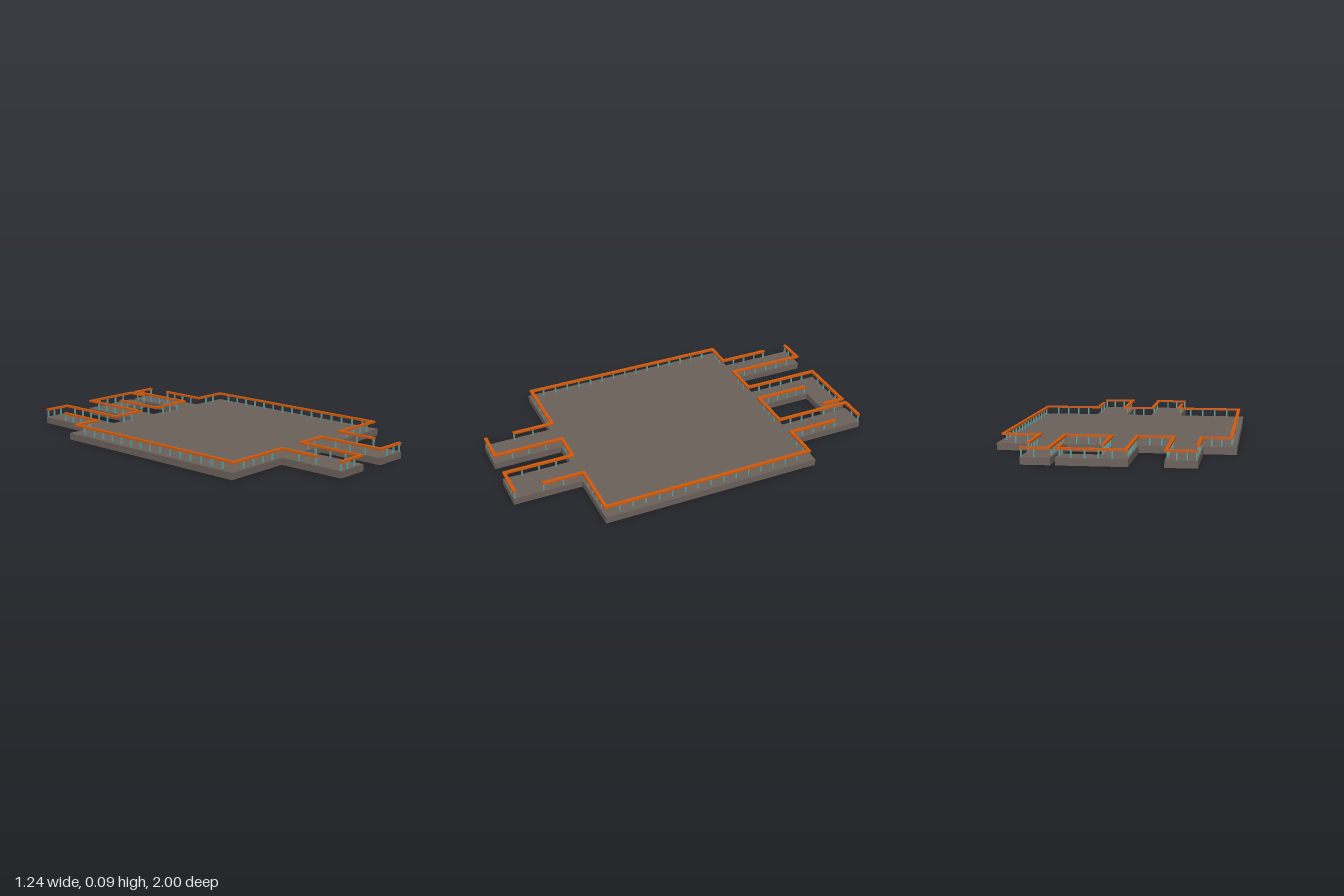
import * as THREE from 'three';

const DECK_TOP = 0.037, RAIL_Y = 0.081, RAIL_W = 0.018, RAIL_H = 0.011, POST_W = 0.008;
const SPACING = 0.0735;

// Deck outline as [x, z] corners, going round from the back left
const OUTLINE = [
  [-0.618, -0.587], [-0.45, -0.587], [-0.45, -1], [-0.292, -1], [-0.292, -0.587],
  [-0.12, -0.587], [-0.12, -1], [0.23, -1], [0.23, -0.875], [0.03, -0.875], [0.03, -0.587],
  [0.253, -0.587], [0.253, -1], [0.403, -1], [0.403, -0.587], [0.618, -0.587],
  [0.618, 0.624], [0.283, 0.624], [0.283, 1], [0.095, 1], [0.095, 0.624],
  [-0.053, 0.624], [-0.053, 1], [-0.237, 1], [-0.237, 0.624], [-0.618, 0.624],
];

// Railing runs as [x, z, spans]; spans optionally sets the post gaps on the stretch ending there
const RUNS = {
  leftRailing: [[-0.44, -0.842], [-0.44, -0.56], [-0.59, -0.56], [-0.59, 0.612], [-0.225, 0.612], [-0.225, 0.84, 2]],
  frontRailing: [[-0.237, 0.991], [-0.063, 0.991], [-0.063, 0.612, 4], [0.106, 0.612], [0.106, 0.991, 4], [0.283, 0.991]],
  rightRailing: [[0.273, 0.84], [0.273, 0.612, 2], [0.588, 0.612], [0.588, -0.56], [0.394, -0.56], [0.394, -0.842]],
  backRightRailing: [[0.403, -0.991], [0.262, -0.991], [0.262, -0.56], [0.02, -0.56], [0.02, -0.866]],
  backLeftRailing: [[0.221, -0.866], [0.221, -0.991], [-0.111, -0.991], [-0.111, -0.56], [-0.3, -0.56], [-0.3, -0.991], [-0.45, -0.991]],
};

function box(name, material, w, h, d, x, y, z) {
  const mesh = new THREE.Mesh(new THREE.BoxGeometry(w, h, d), material);
  mesh.name = name;
  mesh.position.set(x, y, z);
  return mesh;
}

// One railing: a square bar per stretch, overlapping at corners, with posts below
function railing(name, points, railMat, postMat) {
  const group = new THREE.Group();
  group.name = name;
  const postH = RAIL_Y - DECK_TOP;
  const addPost = (x, z) => group.add(
    box('post', postMat, POST_W, postH, POST_W, x, DECK_TOP + postH / 2, z));
  const last = points.length - 1;
  for (let i = 1; i <= last; i++) {
    const [ax, az] = points[i - 1], [bx, bz, given] = points[i];
    const dx = bx - ax, dz = bz - az, length = Math.hypot(dx, dz);
    const ux = dx / length, uz = dz / length;
    // extend over corners but not past the free ends
    const start = i === 1 ? 0 : -RAIL_W / 2;
    const end = length + (i === last ? 0 : RAIL_W / 2);
    const middle = (start + end) / 2;
    const along = end - start;
    group.add(box('handrail', railMat,
      Math.abs(ux) > 0.5 ? along : RAIL_W, RAIL_H, Math.abs(uz) > 0.5 ? along : RAIL_W,
      ax + ux * middle, RAIL_Y, az + uz * middle));
    const spans = given || Math.ceil(length / SPACING);
    for (let k = 1; k < spans; k++) addPost(ax + dx * k / spans, az + dz * k / spans);
    // posts just inside the free ends
    if (i === 1) addPost(ax + ux * 0.006, az + uz * 0.006);
    if (i === last) addPost(bx - ux * 0.006, bz - uz * 0.006);
  }
  return group;
}

export function createModel() {
  const deckMat = new THREE.MeshStandardMaterial({ color: 0x6b605a });
  deckMat.name = 'deckBrown';
  const railMat = new THREE.MeshStandardMaterial({ color: 0xd2590a });
  railMat.name = 'railOrange';
  const postMat = new THREE.MeshStandardMaterial({ color: 0x5f9ea0 });
  postMat.name = 'postTeal';

  const model = new THREE.Group();
  model.name = 'railedPlatform';

  // Platform slab with its piers
  const shape = new THREE.Shape(OUTLINE.map(([x, z]) => new THREE.Vector2(x, -z)));
  const slab = new THREE.ExtrudeGeometry(shape, { depth: DECK_TOP, bevelEnabled: false });
  slab.rotateX(-Math.PI / 2);
  const deck = new THREE.Mesh(slab, deckMat);
  deck.name = 'deck';
  model.add(deck);

  // Railings
  for (const [name, points] of Object.entries(RUNS)) model.add(railing(name, points, railMat, postMat));
  return model;
}
